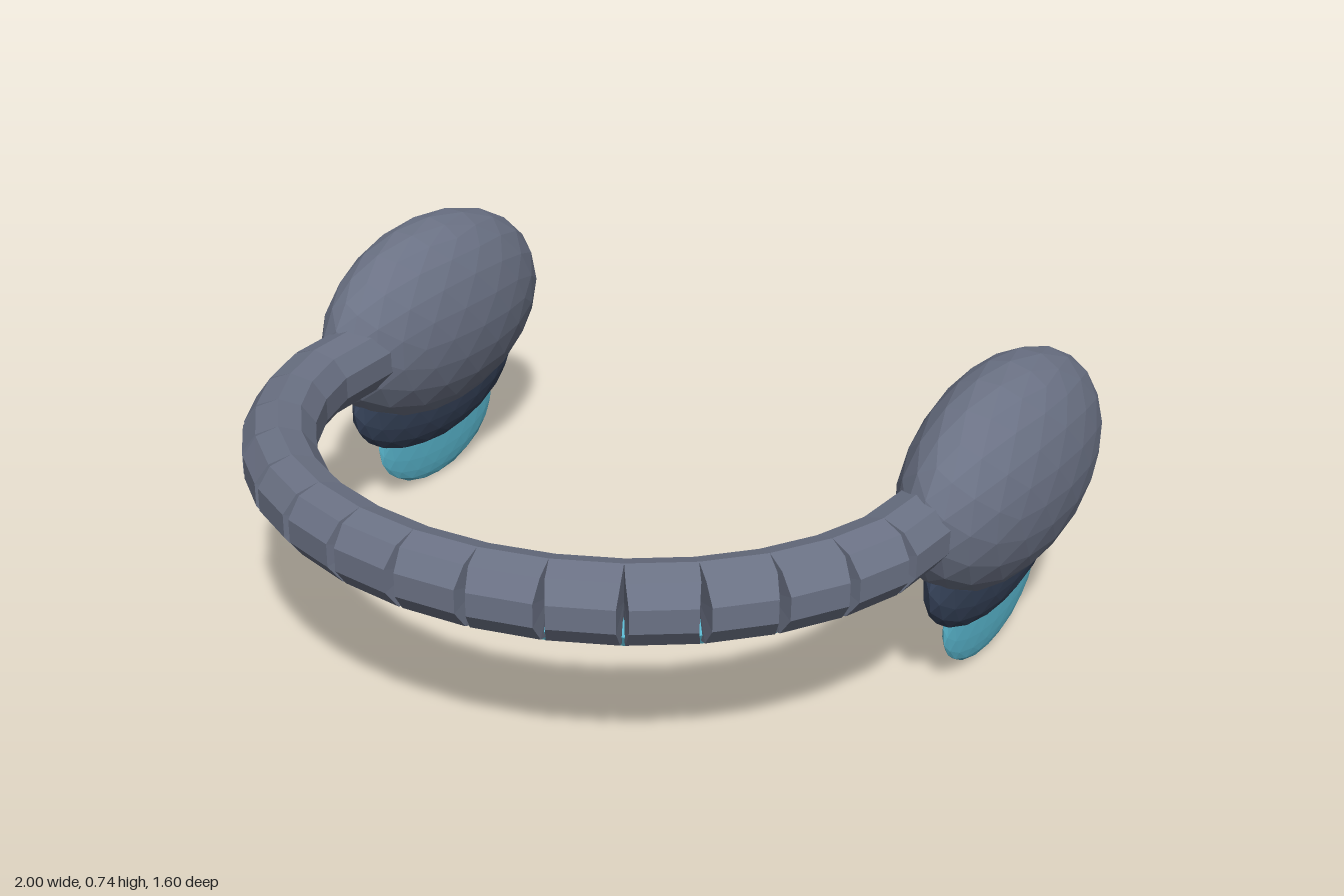
import * as THREE from 'three';

const material = (name, color) => Object.assign(
  new THREE.MeshStandardMaterial({ color, flatShading: true }), { name });

// Frame on the half-ellipse path: centre, outward normal and tangent
function pathFrame(t) {
  const rx = 0.805, rz = 0.744;
  const c = Math.cos(t), s = Math.sin(t);
  return {
    centre: new THREE.Vector3(rx * c, 0, rz * s - 0.03),
    normal: new THREE.Vector3(rz * c, 0, rx * s).normalize(),
    tangent: new THREE.Vector3(-rx * s, 0, rz * c).normalize(),
  };
}

// Faceted tube made of capped segments; a gap opens notches on the outer side
function segmentedArc(angles, sides, radius, y, startAngle, gap) {
  const pos = [];
  const tri = (...pts) => pts.forEach((p) => pos.push(p.x, p.y, p.z));
  const ring = (t, dir) => {
    const { centre, normal, tangent } = pathFrame(t);
    centre.y = y;
    const points = [];
    for (let j = 0; j < sides; j++) {
      const a = startAngle + (j / sides) * Math.PI * 2;
      const shift = dir * gap * Math.max(0, Math.cos(a) - 0.35) / 0.6;
      const p = centre.clone()
        .addScaledVector(normal, radius * Math.cos(a))
        .addScaledVector(tangent, shift);
      p.y += radius * Math.sin(a);
      points.push(p);
    }
    return { centre, points };
  };
  for (let i = 0; i < angles.length - 1; i++) {
    const a = ring(angles[i], 1), b = ring(angles[i + 1], -1);
    for (let j = 0; j < sides; j++) {
      const k = (j + 1) % sides;
      tri(a.points[j], a.points[k], b.points[k]);
      tri(a.points[j], b.points[k], b.points[j]);
      tri(a.centre, a.points[k], a.points[j]);
      tri(b.centre, b.points[j], b.points[k]);
    }
  }
  const geometry = new THREE.BufferGeometry();
  geometry.setAttribute('position', new THREE.Float32BufferAttribute(pos, 3));
  geometry.computeVertexNormals();
  return geometry;
}

export function createModel() {
  const model = new THREE.Group();
  model.name = 'curvedBandWithPods';
  const slate = material('slateGrey', 0x6b7285);
  const navy = material('darkNavy', 0x36435a);
  const cyan = material('cyan', 0x5ab8d0);

  const add = (parent, name, geometry, mat) => {
    const mesh = new THREE.Mesh(geometry, mat);
    mesh.name = name;
    parent.add(mesh);
    return mesh;
  };

  // Notched band, ends buried in the pods
  const angles = Array.from({ length: 17 }, (_, i) => (i / 16) * Math.PI);
  angles[0] = -0.1;
  angles[16] = Math.PI + 0.1;
  add(model, 'band', segmentedArc(angles, 10, 0.09, 0.465, Math.PI / 10, 0.013), slate);

  // Glowing strip along the underside of the band
  add(model, 'underStrip', segmentedArc(angles, 6, 0.034, 0.4, 0, 0), cyan);

  // Pods: three nested ellipsoids, each lower and thinner than the last
  const layers = [
    ['podShell', slate, 0.475, [0.174, 0.265, 0.405]],
    ['podMiddle', navy, 0.3, [0.074, 0.19, 0.335]],
    ['podFin', cyan, 0.165, [0.025, 0.165, 0.245]],
  ];
  for (const side of [1, -1]) {
    const pod = new THREE.Group();
    pod.name = side > 0 ? 'leftPod' : 'rightPod';
    pod.position.set(side * 0.825, 0, -0.395);
    for (const [name, mat, y, radii] of layers) {
      const geometry = new THREE.IcosahedronGeometry(1, 3).scale(...radii);
      add(pod, name, geometry, mat).position.y = y;
    }
    model.add(pod);
  }
  return model;
}
